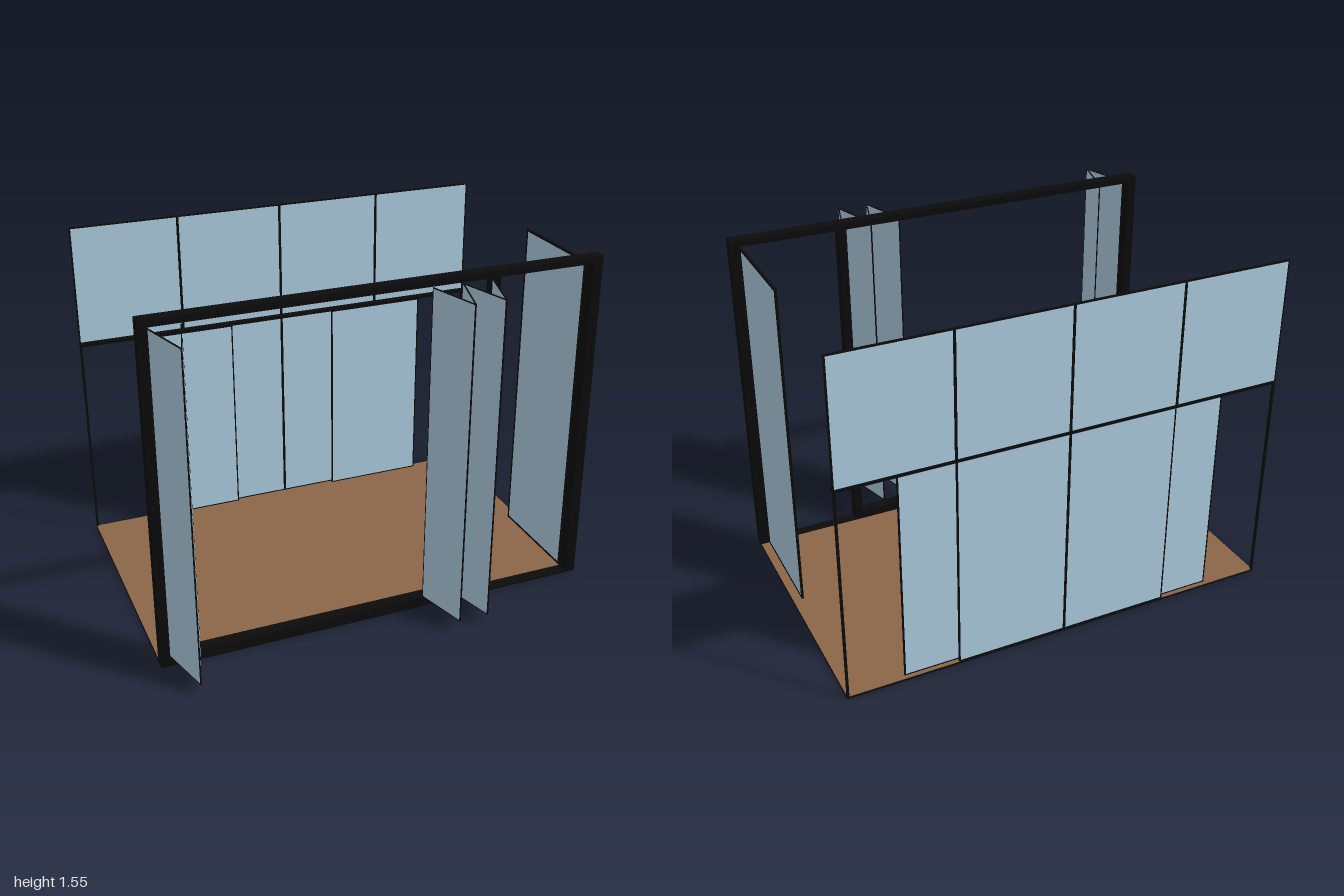
import * as THREE from 'three';

const black = new THREE.MeshStandardMaterial({ color: 0x0b0b0b });
const glass = new THREE.MeshStandardMaterial({ color: 0xadcce0 });
const wood = new THREE.MeshStandardMaterial({ color: 0x8b6548 });

// Box given by its limits on each axis
function box(name, [x0, x1], [y0, y1], [z0, z1], material) {
  const mesh = new THREE.Mesh(new THREE.BoxGeometry(x1 - x0, y1 - y0, z1 - z0), material);
  mesh.position.set((x0 + x1) / 2, (y0 + y1) / 2, (z0 + z1) / 2);
  mesh.name = name;
  return mesh;
}

// Glazed panel in the xy plane, centred on x = 0 and standing on y = 0
function panel(name, w, h, t, rim) {
  const g = new THREE.Group();
  g.name = name;
  const x = w / 2, z = [-t / 2, t / 2], pane = [-t * 0.35, t * 0.35];
  g.add(
    box('pane', [-x + rim, x - rim], [rim, h - rim], pane, glass),
    box('bottomRim', [-x, x], [0, rim], z, black),
    box('topRim', [-x, x], [h - rim, h], z, black),
    box('sideRim', [-x, -x + rim], [rim, h - rim], z, black),
    box('sideRim', [x - rim, x], [rim, h - rim], z, black)
  );
  return g;
}

export function createModel() {
  const model = new THREE.Group();
  const place = (part, x, y, z, turn = 0) => {
    part.position.set(x, y, z);
    part.rotation.y = turn;
    model.add(part);
  };

  // Floor: dark slab with a wooden top
  model.add(box('floorSlab', [-1, 1], [0, 0.008], [-0.738, 0.505], black));
  model.add(box('floorBoards', [-0.998, 0.998], [0.008, 0.011], [-0.736, 0.45], wood));

  // Front frame
  const depth = [0.45, 0.507];
  model.add(
    box('topBeam', [-1, 1], [1.525, 1.555], depth, black),
    box('sill', [-0.96, 0.48], [0.008, 0.05], depth, black),
    box('rightPost', [-1, -0.96], [0.008, 1.525], depth, black),
    box('middlePost', [0.48, 0.515], [0.008, 1.525], depth, black),
    box('leftPost', [0.955, 1], [0.008, 1.525], depth, black)
  );

  // Folded door leaves, zigzagging out from the frame
  const folds = [[-0.96, -0.895, -0.83], [0.21, 0.2775, 0.345, 0.4125, 0.48]];
  for (const xs of folds) {
    for (let i = 0; i + 1 < xs.length; i++) {
      const dx = xs[i + 1] - xs[i];
      const dz = i % 2 ? -0.237 : 0.237;
      const leaf = panel('foldingLeaf', Math.hypot(dx, dz), 1.47, 0.005, 0.004);
      place(leaf, (xs[i] + xs[i + 1]) / 2, 0.05, 0.5, Math.atan2(-dz, dx));
      leaf.position.z += 0.1185;
    }
  }

  // Hinged door, opened inwards
  place(panel('openDoor', 0.49, 1.51, 0.01, 0.01), 0.955, 0.011, 0.205, Math.PI / 2);

  // Back wall: upper windows, fixed lower panes, sliding panes
  const back = -0.733;
  for (const x of [-0.75, -0.25, 0.25, 0.75]) {
    place(panel('upperWindow', 0.5, 0.56, 0.01, 0.006), x, 0.995, back);
  }
  for (const side of [-1, 1]) {
    place(panel('fixedPane', 0.5, 0.985, 0.01, 0.006), side * 0.25, 0.01, back);
    place(panel('slidingPane', 0.48, 0.975, 0.008, 0.006), side * 0.5, 0.01, -0.715);
    model.add(box('backCornerPost', side < 0 ? [-1, -0.99] : [0.99, 1], [0.008, 0.995], [-0.738, -0.728], black));
  }
  model.add(box('slidingRail', [-1, 1], [0.985, 1.0], [-0.737, -0.705], black));

  return model;
}
